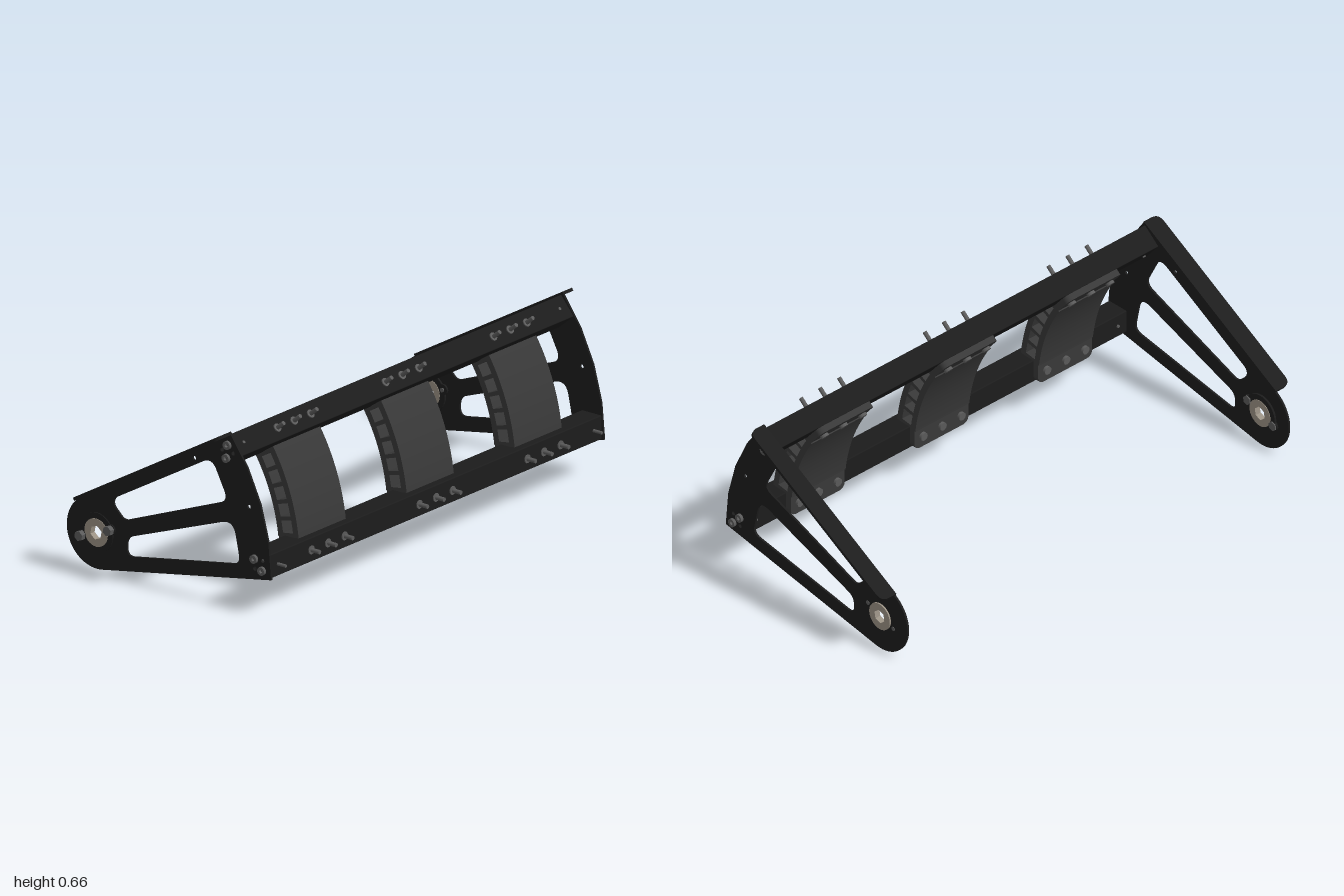
import * as THREE from 'three';

const mat = (color) => new THREE.MeshStandardMaterial({ color });
const black = mat(0x1c1c1c), padMat = mat(0x383838), steel = mat(0x5a5a5a), bearingMat = mat(0x9a9184);
const HUB = new THREE.Vector2(-0.345, 0.14);
const RAD = Math.PI / 180;
const polar = (r, deg) => new THREE.Vector2(HUB.x + r * Math.cos(deg * RAD), HUB.y + r * Math.sin(deg * RAD));

function add(parent, name, geometry, material) {
  const mesh = new THREE.Mesh(geometry, material);
  mesh.name = name;
  parent.add(mesh);
  return mesh;
}

// Extrude an XY shape from z0 to z1
function slab(shape, z0, z1) {
  return new THREE.ExtrudeGeometry(shape, { depth: z1 - z0, bevelEnabled: false, curveSegments: 16 }).translate(0, 0, z0);
}

// Closed path with rounded corners; corners are [x, y, radius]
function rounded(corners, PathType = THREE.Path) {
  const path = new PathType();
  const n = corners.length;
  corners.forEach(([x, y, r], i) => {
    const p = new THREE.Vector2(x, y);
    const toward = ([qx, qy]) => new THREE.Vector2(qx - x, qy - y).normalize().multiplyScalar(r).add(p);
    const a = toward(corners[(i + n - 1) % n]), b = toward(corners[(i + 1) % n]);
    if (i === 0) path.moveTo(a.x, a.y); else path.lineTo(a.x, a.y);
    path.quadraticCurveTo(x, y, b.x, b.y);
  });
  path.closePath();
  return path;
}

function circle(x, y, r, PathType = THREE.Path) {
  const path = new PathType();
  path.absarc(x, y, r, 0, Math.PI * 2, false);
  return path;
}

function hexagon(x, y, r, PathType = THREE.Path) {
  const pts = [];
  for (let i = 0; i < 6; i++) {
    const a = (i * 60 + 20) * RAD;
    pts.push(new THREE.Vector2(x + r * Math.cos(a), y + r * Math.sin(a)));
  }
  return new PathType(pts);
}

// Ring sector about the hub
function sector(r0, r1, a0, a1) {
  const s = new THREE.Shape();
  s.absarc(HUB.x, HUB.y, r1, a0 * RAD, a1 * RAD, false);
  s.absarc(HUB.x, HUB.y, r0, a1 * RAD, a0 * RAD, true);
  s.closePath();
  return s;
}

const PLATE_BOLTS = [[0.254, 0.608], [0.249, 0.558], [0.376, 0.207], [0.412, 0.17]];
const SMALL_HOLES = [[0.1, 0.523], [0.35, 0.397], [0.227, 0.585], [0.277, 0.581], [0.412, 0.207], [0.377, 0.17]];
const HUB_BOLTS = [[-0.41, 0.117], [-0.28, 0.165]];

function plateShape() {
  const s = new THREE.Shape();
  s.absarc(HUB.x, HUB.y, 0.138, 120 * RAD, 280 * RAD, false);
  for (const a of [0.2, 10.2, 20.3, 30.4, 40.2]) {
    const p = polar(0.796, a);
    s.lineTo(p.x, p.y);
  }
  s.closePath();
  s.holes.push(
    rounded([[-0.27, 0.285, 0.02], [0.18, 0.543, 0.045], [0.255, 0.397, 0.04], [-0.22, 0.213, 0.02], [-0.268, 0.258, 0.015]]),
    rounded([[-0.207, 0.153, 0.03], [0.278, 0.33, 0.055], [0.311, 0.172, 0.035], [-0.209, 0.08, 0.035]]),
    circle(HUB.x, HUB.y, 0.05));
  for (const [x, y] of SMALL_HOLES) s.holes.push(circle(x, y, 0.008));
  return s;
}

// Arm plate with top flange, bearing and bolts; side is +1 (front) or -1 (back)
function sidePlate(side) {
  const g = new THREE.Group();
  g.name = side > 0 ? 'frontArm' : 'backArm';
  const span = (shape, a, b) => slab(shape, Math.min(a * side, b * side), Math.max(a * side, b * side));
  add(g, 'armPlate', span(plateShape(), 0.928, 0.936), black);

  // Flange folded outward along the slanted edge
  const flange = rounded([[0, 0.928, 0.001], [0.785, 0.928, 0.001], [0.785, 1, 0.035], [0, 1, 0.035]], THREE.Shape);
  const fg = slab(flange, 0, 0.012).rotateX(Math.PI / 2);
  if (side < 0) fg.translate(0, 0, -1.928);
  if (side < 0) {
    // turn the rounded corners to the far side
    fg.translate(-0.3925, 0, 0.964).rotateY(Math.PI).translate(0.3925, 0, -0.964);
  }
  const start = polar(0.136, 120);
  fg.translate(0, 0.01, 0).rotateZ(30 * RAD).translate(start.x, start.y, 0);
  add(g, 'topFlange', fg, black);

  // Hex-bore bearing and its holder
  const ring = circle(HUB.x, HUB.y, 0.053, THREE.Shape);
  ring.holes.push(hexagon(HUB.x, HUB.y, 0.027));
  add(g, 'hexBearing', span(ring, 0.918, 0.942), bearingMat);
  const holder = circle(HUB.x, HUB.y, 0.075, THREE.Shape);
  holder.holes.push(circle(HUB.x, HUB.y, 0.053));
  add(g, 'bearingHolder', side > 0 ? span(holder, 0.92, 0.94) : span(holder, 0.92, 0.93), black);
  for (const [x, y] of HUB_BOLTS) {
    add(g, 'holderLug', span(circle(x, y, 0.02, THREE.Shape), 0.92, side > 0 ? 0.942 : 0.93), black);
    if (side > 0) add(g, 'hubBolt', span(hexagon(x, y, 0.019, THREE.Shape), 0.915, 0.962), steel);
    else add(g, 'hubBolt', span(circle(x, y, 0.008, THREE.Shape), 0.915, 0.938), steel);
  }

  // Screws holding the cross tubes, with hex sockets
  for (const [x, y] of PLATE_BOLTS) {
    const head = circle(x, y, 0.016, THREE.Shape);
    head.holes.push(hexagon(x, y, 0.007));
    add(g, 'tubeScrew', span(head, 0.934, 0.947), steel);
  }
  return g;
}

const PAD_Z = [-0.605, 0, 0.605];

// Square cross tube with the bolts that pass through it
function crossTube(name, x, y, deg) {
  const g = new THREE.Group();
  g.name = name;
  const h = 0.045, w = 0.036;
  const s = rounded([[-h, -h, 0.004], [h, -h, 0.004], [h, h, 0.004], [-h, h, 0.004]], THREE.Shape);
  s.holes.push(rounded([[-w, -w, 0.002], [w, -w, 0.002], [w, w, 0.002], [-w, w, 0.002]]));
  add(g, 'tube', slab(s, -0.928, 0.928), black);
  const bolt = (z, r, x0, x1, part) => {
    const geo = new THREE.CylinderGeometry(r, r, x1 - x0, 12).rotateZ(Math.PI / 2);
    add(g, part, geo, steel).position.set((x0 + x1) / 2, 0, z);
  };
  for (const pz of PAD_Z) for (const dz of [-0.093, 0, 0.093]) {
    bolt(pz + dz, 0.008, -0.07, 0.085, 'padBolt');
    bolt(pz + dz, 0.016, -0.08, -0.068, 'padBoltHead');
    bolt(pz + dz, 0.016, 0.044, 0.049, 'padBoltWasher');
  }
  for (const z of [-0.885, 0.885]) bolt(z, 0.006, -0.05, deg ? 0.047 : 0.083, 'endBolt');
  g.position.set(x, y, 0);
  g.rotation.z = deg * RAD;
  return g;
}

// Curved pad: two skins joined by a centre web and ribs, with mounting tabs
function pad(z) {
  const g = new THREE.Group();
  g.name = 'curvedPad';
  const half = 0.132;
  add(g, 'outerSkin', slab(sector(0.742, 0.766, 7.2, 33), -half, half), padMat);
  add(g, 'innerSkin', slab(sector(0.672, 0.696, 7.2, 33), -half, half), padMat);
  add(g, 'centreWeb', slab(sector(0.69, 0.75, 7.2, 33), -0.06, 0.06), padMat);
  for (let i = 0; i <= 5; i++) {
    const a = 7.2 + i * 4.92;
    add(g, 'rib', slab(sector(0.69, 0.75, a, a + 1.2), -half, half), padMat);
  }
  // Flat tabs behind the lower and upper tubes
  const tab = rounded([[-half, -0.045, 0.03], [half, -0.045, 0.03], [half, 0.05, 0.002], [-half, 0.05, 0.002]], THREE.Shape);
  for (const [name, x, y, deg, flip] of [['lowerTab', 0.395, 0.188, 0, 1], ['upperTab', 0.25, 0.583, 40, -1]]) {
    const geo = slab(tab, -0.012, 0.012);
    if (flip < 0) geo.rotateZ(Math.PI);
    geo.rotateY(Math.PI / 2).translate(-0.057, 0, 0).rotateZ(deg * RAD).translate(x, y, 0);
    add(g, name, geo, padMat);
  }
  g.position.z = z;
  return g;
}

export function createModel() {
  const model = new THREE.Group();
  model.name = 'pivotingArmFrame';
  model.add(sidePlate(1), sidePlate(-1));
  model.add(crossTube('lowerTube', 0.395, 0.188, 0), crossTube('upperTube', 0.25, 0.583, 40));
  for (const z of PAD_Z) model.add(pad(z));
  return model;
}
